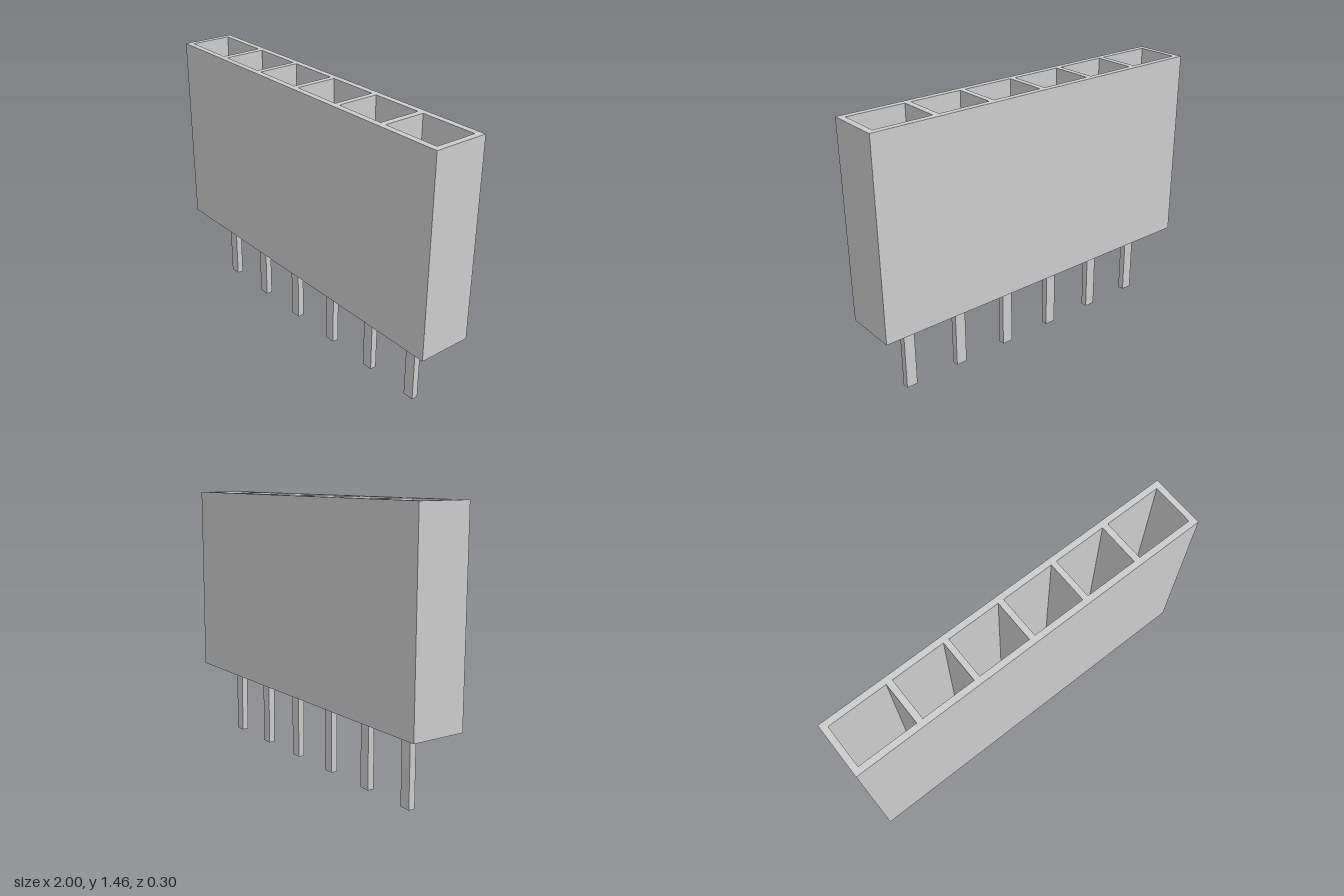
import * as THREE from 'three';

const material = new THREE.MeshStandardMaterial({ color: 0xcccccc, flatShading: true });

const WIDTH = 2, DEPTH = 0.296;
const BOTTOM = 0.4, FLOOR = 0.43, TOP = 1.465;
const PITCH = 0.318, PINS = 6;

// Traces a rectangle into a Shape or Path
function rect(path, x0, x1, halfDepth) {
  path.moveTo(x0, -halfDepth);
  path.lineTo(x1, -halfDepth);
  path.lineTo(x1, halfDepth);
  path.lineTo(x0, halfDepth);
  path.closePath();
  return path;
}

function addMesh(parent, name, geometry, x, y, z) {
  const mesh = new THREE.Mesh(geometry, material);
  mesh.name = name;
  mesh.position.set(x, y, z);
  parent.add(mesh);
  return mesh;
}

export function createModel() {
  const model = new THREE.Group();
  model.name = 'pinSocket';

  // Housing walls: a block with six open cells, mirrored about x = 0
  const outline = rect(new THREE.Shape(), -WIDTH / 2, WIDTH / 2, DEPTH / 2);
  for (const [x0, x1] of [[0.016, 0.302], [0.333, 0.619], [0.653, 0.967]]) {
    outline.holes.push(rect(new THREE.Path(), x0, x1, 0.115));
    outline.holes.push(rect(new THREE.Path(), -x1, -x0, 0.115));
  }
  const walls = new THREE.ExtrudeGeometry(outline, { depth: TOP - FLOOR, bevelEnabled: false });
  walls.rotateX(-Math.PI / 2);
  addMesh(model, 'housingWalls', walls, 0, FLOOR, 0);

  // Closed underside of the housing
  const floor = new THREE.BoxGeometry(WIDTH, FLOOR - BOTTOM, DEPTH);
  addMesh(model, 'housingFloor', floor, 0, (BOTTOM + FLOOR) / 2, 0);

  // Row of flat contact pins
  const pins = new THREE.Group();
  pins.name = 'pins';
  const pin = new THREE.BoxGeometry(0.062, BOTTOM, 0.036);
  for (let i = 0; i < PINS; i++) {
    addMesh(pins, `pin${i + 1}`, pin, (i - (PINS - 1) / 2) * PITCH, BOTTOM / 2, 0);
  }
  model.add(pins);

  return model;
}
